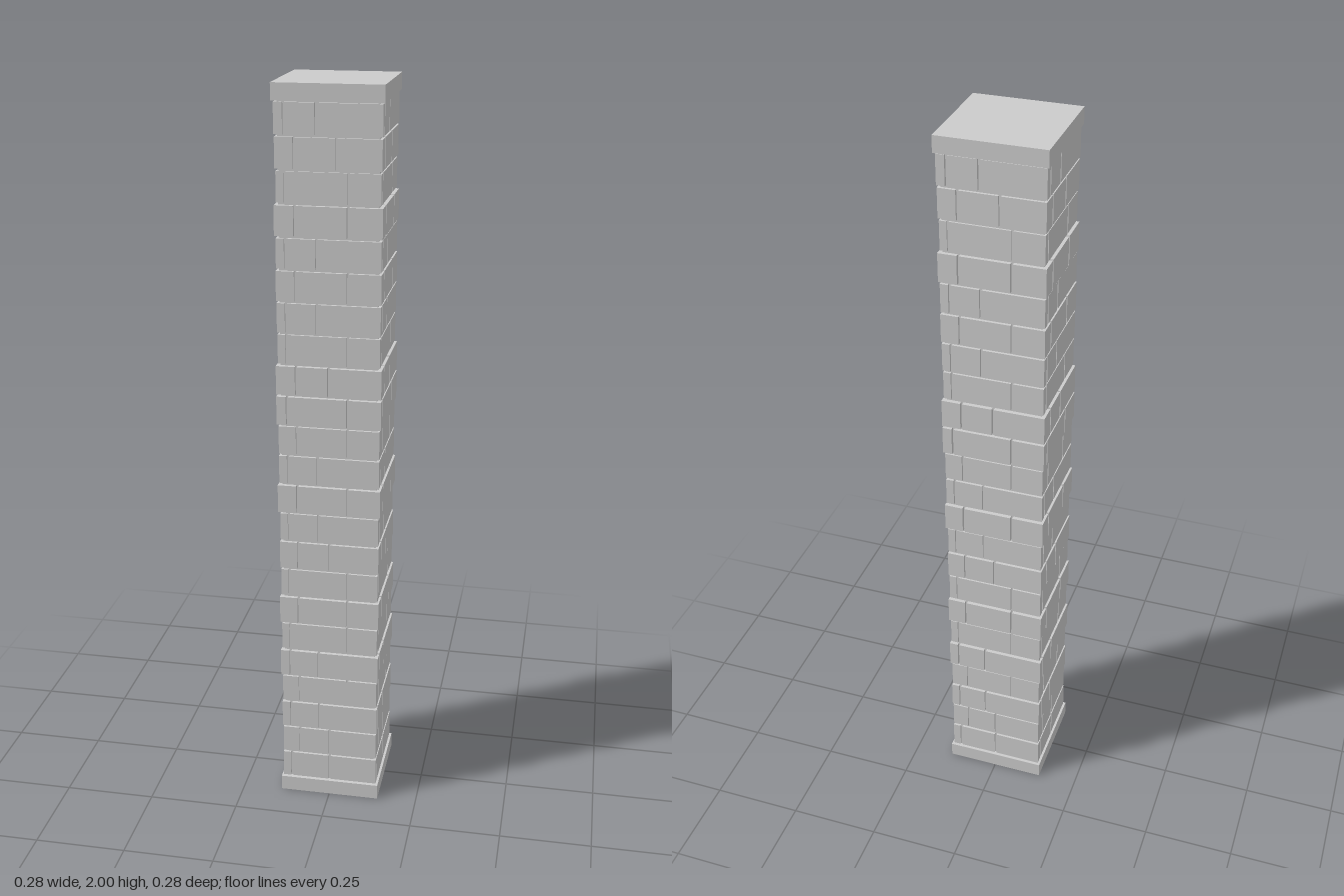
import * as THREE from 'three';

const SLAB = 0.043, HALF = 0.14, CORE = 0.127, GAP = 0.006;

// each course from the bottom up: [corner joint, inner joint, outer half width]
const COURSES = [
  [-0.11, 0, 0.134], [-0.085, 0, 0.133], [-0.11, -0.03, 0.135], [-0.085, 0.05, 0.133],
  [-0.11, -0.03, 0.137], [-0.11, 0.05, 0.133], [-0.085, 0.05, 0.137], [-0.11, 0.05, 0.133],
  [-0.085, 0, 0.135], [-0.11, -0.03, 0.133], [-0.085, 0.05, 0.138], [-0.11, -0.03, 0.134],
  [-0.085, 0.05, 0.134], [-0.11, 0.05, 0.138], [-0.085, 0, 0.138], [-0.11, 0.05, 0.133],
  [-0.11, -0.03, 0.134], [-0.085, 0.05, 0.135], [-0.11, -0.03, 0.134], [-0.085, 0.05, 0.137],
  [-0.11, 0.05, 0.132], [-0.085, 0.02, 0.134], [-0.11, -0.03, 0.135],
];

export function createModel() {
  const group = new THREE.Group();
  const material = new THREE.MeshStandardMaterial({ color: 0xcccccc, flatShading: true });

  const box = (name, parent, w, h, d, x, y, z) => {
    const mesh = new THREE.Mesh(new THREE.BoxGeometry(w, h, d), material);
    mesh.name = name;
    mesh.position.set(x, y, z);
    parent.add(mesh);
  };

  // base, cap and the recessed mortar core
  box('baseSlab', group, HALF * 2, SLAB, HALF * 2, 0, SLAB / 2, 0);
  box('capSlab', group, HALF * 2, SLAB, HALF * 2, 0, 2 - SLAB / 2, 0);
  box('mortarCore', group, CORE * 2, 2 - SLAB * 2, CORE * 2, 0, 1, 0);

  // brick courses: the same bond turned around all four sides,
  // with the last brick of each side showing its end on the next side
  const rowHeight = (2 - SLAB * 2) / COURSES.length;
  COURSES.forEach(([corner, joint, outer], row) => {
    const y = SLAB + (row + 0.5) * rowHeight;
    const depth = outer + corner - GAP / 2;
    for (let side = 0; side < 4; side++) {
      const course = new THREE.Group();
      course.name = `course${row + 1}Side${side + 1}`;
      course.rotation.y = side * Math.PI / 2;
      const spans = [[corner + GAP / 2, joint - GAP / 2], [joint + GAP / 2, outer]];
      for (const [x0, x1] of spans) {
        box('brick', course, x1 - x0, rowHeight - GAP, depth, (x0 + x1) / 2, y, outer - depth / 2);
      }
      group.add(course);
    }
  });

  return group;
}
